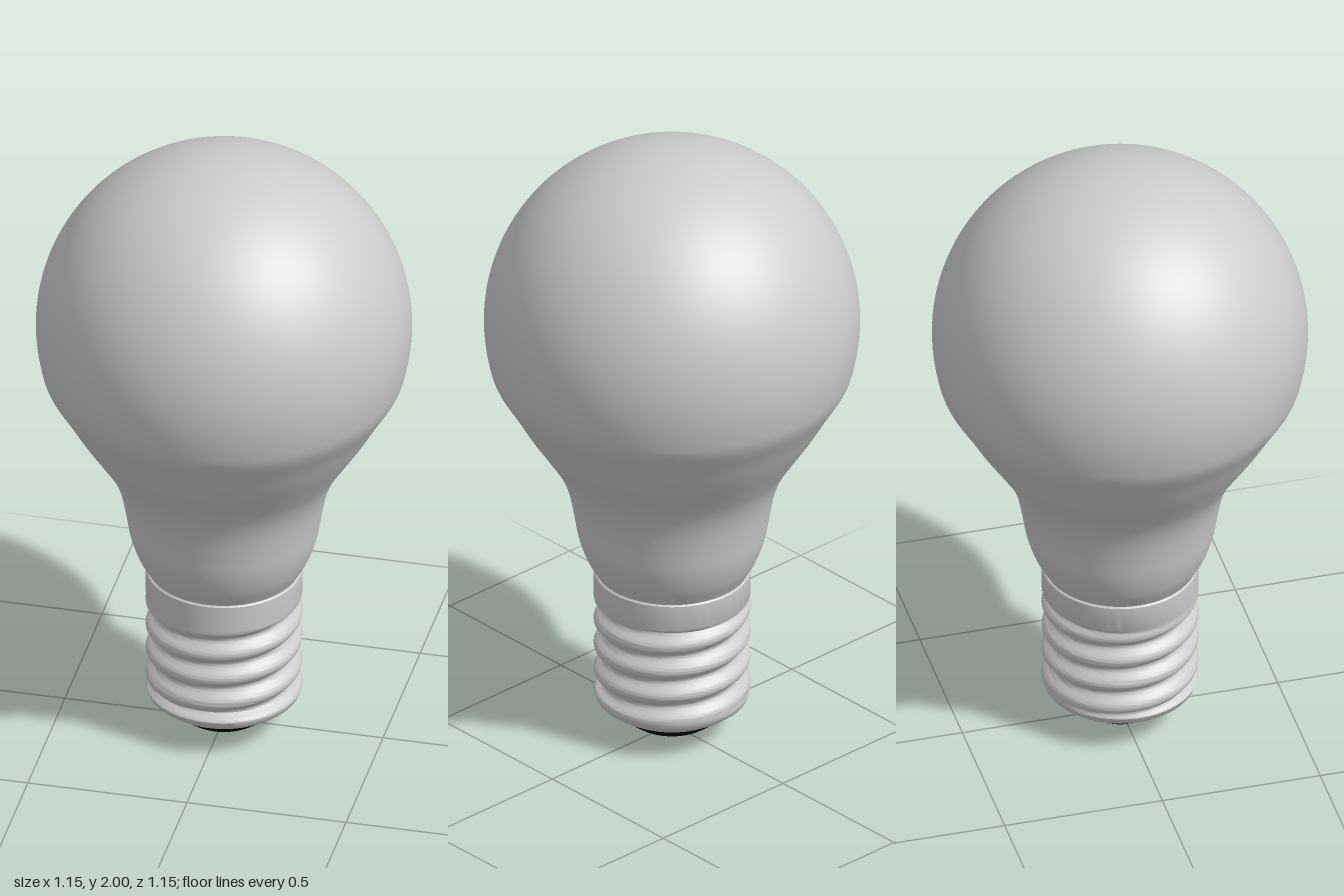
import * as THREE from 'three';
import { toCreasedNormals } from 'three/addons/utils/BufferGeometryUtils.js';

const SEGMENTS = 96;
const vec = ([r, y]) => new THREE.Vector2(r, y);

function addPart(group, name, geometry, color = 0xcccccc) {
  const material = new THREE.MeshStandardMaterial({ color });
  const mesh = new THREE.Mesh(toCreasedNormals(geometry, 0.65), material);
  mesh.name = name;
  group.add(mesh);
}

const lathe = (points) => new THREE.LatheGeometry(points, SEGMENTS);

// Round bulb that sweeps into a narrow neck
function glassGeometry() {
  const neck = [[0.222, 0.53], [0.238, 0.56], [0.265, 0.61], [0.288, 0.68], [0.302, 0.76],
    [0.32, 0.845], [0.35, 0.92], [0.4, 1.0], [0.452, 1.08], [0.498, 1.16]].map(vec);
  const centre = 1.424, radius = 0.576, start = -0.32, steps = 16;
  for (let i = 0; i <= steps; i++) {
    const a = THREE.MathUtils.lerp(start, Math.PI / 2, i / steps);
    neck.push(vec([i === steps ? 0 : radius * Math.cos(a), centre + radius * Math.sin(a)]));
  }
  const points = new THREE.SplineCurve(neck).getPoints(100);
  points[points.length - 1].x = 0;
  return lathe(points);
}

// Metal shell: smooth collar above a helical thread, tapering at the foot
function screwShellGeometry() {
  const bottom = 0.13, top = 0.465, rows = 72, radius = 0.24;
  const pitch = 0.087, depth = 0.028, grooveY = 0.41;
  const profile = [[0.165, 0.068], [0.175, 0.07], [0.21, 0.092], [0.232, 0.11]].map(vec);
  for (let i = 0; i <= rows; i++) {
    profile.push(vec([radius, THREE.MathUtils.lerp(bottom, top, i / rows)]));
  }
  profile.push(vec([radius, 0.548]), vec([0.236, 0.552]), vec([0.2, 0.552]));
  const geometry = lathe(profile);

  // Press the groove into the shell, rising one pitch per turn
  const p = geometry.attributes.position;
  const { smoothstep } = THREE.MathUtils;
  for (let i = 0; i < p.count; i++) {
    const x = p.getX(i), y = p.getY(i), z = p.getZ(i);
    if (y < bottom || y > top) continue;
    const turn = Math.atan2(x, z) / (2 * Math.PI);
    const wave = 0.5 + 0.5 * Math.cos(2 * Math.PI * ((y - grooveY) / pitch - turn));
    const fade = smoothstep(y, bottom, 0.155) * (1 - smoothstep(y, 0.44, top));
    const scale = 1 - depth * Math.pow(wave, 1.3) * fade / radius;
    p.setXYZ(i, x * scale, y, z * scale);
  }
  return geometry;
}

export function createModel() {
  const group = new THREE.Group();
  group.name = 'lightBulb';

  addPart(group, 'glassBulb', glassGeometry());
  addPart(group, 'screwShell', screwShellGeometry());

  // Black insulating ring under the shell
  addPart(group, 'insulator', lathe([[0, 0.018], [0.1, 0.018], [0.125, 0.028],
    [0.15, 0.047], [0.172, 0.071], [0, 0.071]].map(vec)), 0x050505);

  // Slightly domed contact at the foot
  addPart(group, 'footContact', lathe([[0, 0], [0.04, 0.001], [0.07, 0.004], [0.09, 0.009],
    [0.1, 0.017], [0.1, 0.025], [0, 0.025]].map(vec)));

  return group;
}
